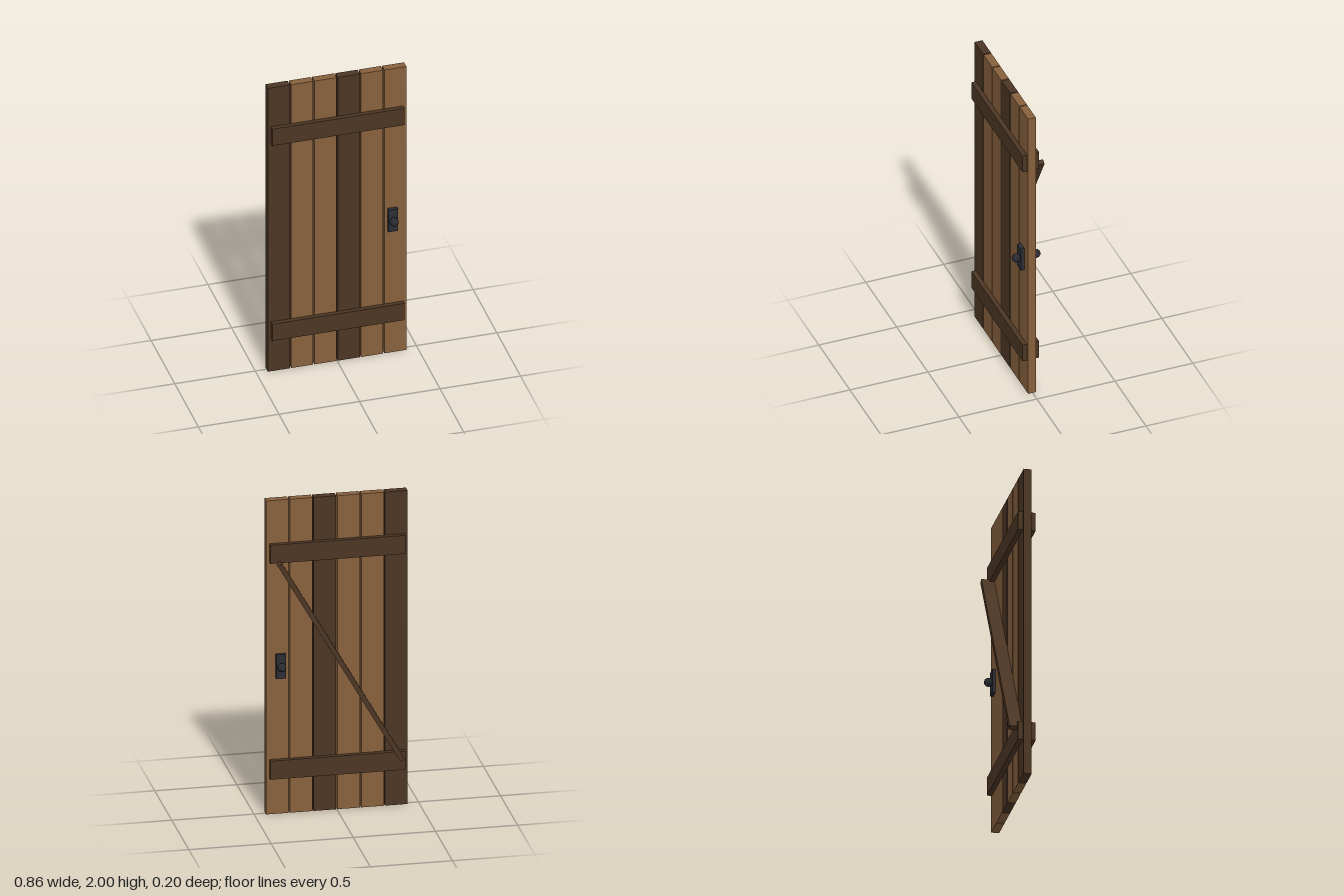
import * as THREE from 'three';

export function createModel() {
  const door = new THREE.Group();
  door.name = 'plankDoor';

  const material = (name, color) => {
    const m = new THREE.MeshStandardMaterial({ color, flatShading: true });
    m.name = name;
    return m;
  };
  const lightWood = material('lightWood', 0x87603d);
  const darkWood = material('darkWood', 0x4c3624);
  const iron = material('iron', 0x2c2d34);

  const add = (name, geometry, mat, x, y, z) => {
    const mesh = new THREE.Mesh(geometry, mat);
    mesh.name = name;
    mesh.position.set(x, y, z);
    door.add(mesh);
    return mesh;
  };
  const box = (w, h, d) => new THREE.BoxGeometry(w, h, d);

  // Six upright planks with narrow gaps; every third one is dark
  const middle = 0.004;
  for (let i = 0; i < 6; i++) {
    add(`plank${i + 1}`, box(0.137, 2, 0.049), i % 3 === 0 ? darkWood : lightWood,
      (i - 2.5) * 0.1447, 1, middle);
  }

  // Cross rails on both faces
  for (const [level, y] of [['lower', 0.29], ['upper', 1.667]]) {
    add(`${level}FrontRail`, box(0.822, 0.118, 0.029), darkWood, 0, y, 0.0425);
    add(`${level}BackRail`, box(0.822, 0.118, 0.03), darkWood, 0, y, -0.035);
  }

  // Diagonal brace on the back, set into the gaps between planks
  const brace = add('diagonalBrace', box(1.5, 0.03, 0.097), darkWood, -0.011, 0.963, -0.0505);
  brace.rotation.z = THREE.MathUtils.degToRad(60.2);

  // Handle plate and faceted knob on each face
  for (const [side, s] of [['front', 1], ['back', -1]]) {
    add(`${side}HandlePlate`, box(0.06, 0.155, 0.026), iron, 0.342, 0.943, 0.0065 + s * 0.033);
    add(`${side}Knob`, new THREE.IcosahedronGeometry(0.028, 1), iron, 0.342, 0.943, 0.0065 + s * 0.063);
  }

  return door;
}
